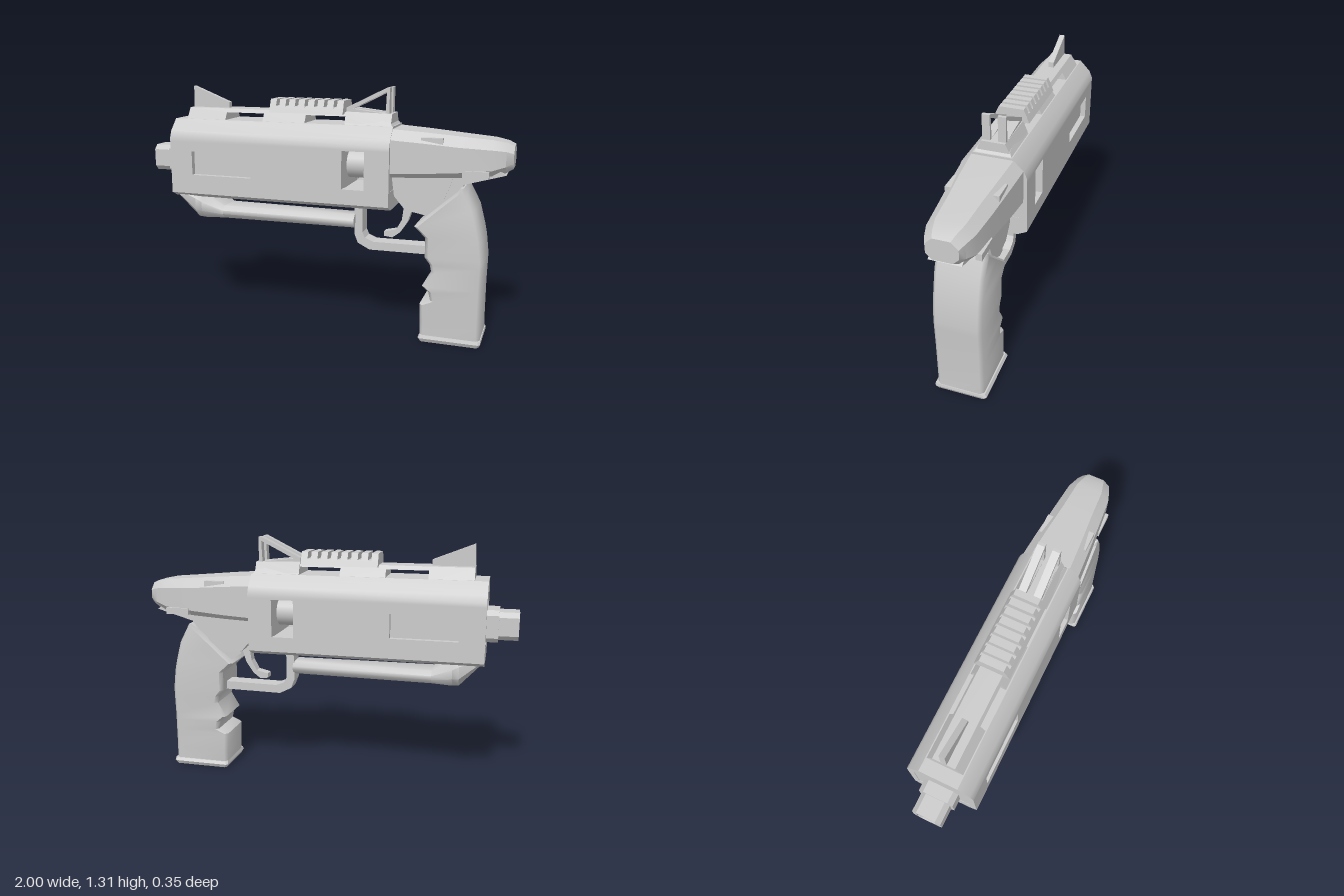
import * as THREE from 'three';
import { toCreasedNormals } from 'three/addons/utils/BufferGeometryUtils.js';

const material = new THREE.MeshStandardMaterial({ color: 0xcccccc, side: THREE.DoubleSide });

// Rectangle with separate chamfers on its low and high u sides, as a counter-clockwise ring
const ring = (u0, u1, v0, v1, c, c0 = c) => [
  [u1, v0 + c], [u1, v1 - c], [u1 - c, v1], [u0 + c0, v1],
  [u0, v1 - c0], [u0, v0 + c0], [u0 + c0, v0], [u1 - c, v0],
];

// Skin over rings; each section is [position, ring], running along x (ring = y,z) or y (ring = z,x)
function loft(sections, axis = 'x', crease = 0.6) {
  const pos = [], idx = [], n = sections[0][1].length;
  for (const [t, pts] of sections)
    for (const [u, v] of pts) axis === 'x' ? pos.push(t, u, v) : pos.push(v, t, u);
  for (let i = 0; i < sections.length - 1; i++)
    for (let j = 0; j < n; j++) {
      const a = i * n + j, b = i * n + (j + 1) % n;
      idx.push(a, b, b + n, a, b + n, a + n);
    }
  const e = (sections.length - 1) * n;
  for (let j = 1; j < n - 1; j++) idx.push(0, j + 1, j, e, e + j, e + j + 1);
  const g = new THREE.BufferGeometry();
  g.setAttribute('position', new THREE.Float32BufferAttribute(pos, 3));
  g.setIndex(idx);
  return toCreasedNormals(g, crease);
}

const toPoints = (pts) => pts.map(([x, y]) => new THREE.Vector2(x, y));
const rect = (x0, x1, y0, y1) => [[x0, y0], [x1, y0], [x1, y1], [x0, y1]];

// Side outline extruded between z0 and z1
function slab(outline, z0, z1, holes = []) {
  const shape = new THREE.Shape(toPoints(outline));
  for (const h of holes) shape.holes.push(new THREE.Path(toPoints(h)));
  return new THREE.ExtrudeGeometry(shape, { depth: z1 - z0, bevelEnabled: false }).translate(0, 0, z0);
}

const box = (x0, x1, y0, y1, z0, z1) =>
  new THREE.BoxGeometry(x1 - x0, y1 - y0, z1 - z0).translate((x0 + x1) / 2, (y0 + y1) / 2, (z0 + z1) / 2);

export function createModel() {
  const model = new THREE.Group();
  const add = (name, geometry) => {
    const mesh = new THREE.Mesh(geometry, material);
    mesh.name = name;
    model.add(mesh);
  };

  // Shroud: chamfered roof and floor, solid cores, pierced side plates
  const roof = [[1, -0.175], [1.02, -0.175], [1.06, -0.158], [1.12, -0.1],
    [1.12, 0.1], [1.06, 0.158], [1.02, 0.175], [1, 0.175]];
  const floor = [[0.69, -0.125], [0.715, -0.175], [0.79, -0.175], [0.79, 0.175], [0.715, 0.175], [0.69, 0.125]];
  add('shroudRoof', loft([[-0.84, roof], [0.4, roof]], 'x', 0.8));
  add('shroudFloor', loft([[-0.84, floor], [0.4, floor]], 'x', 0.1));
  add('shroudFrontCore', box(-0.838, 0.148, 0.78, 1.01, -0.145, 0.145));
  add('shroudRearCore', box(0.272, 0.398, 0.78, 1.01, -0.145, 0.145));
  const windows = [rect(-0.71, -0.36, 0.82, 0.95), rect(0.15, 0.27, 0.795, 0.995)];
  for (const z of [-0.175, 0.14])
    add('shroudSide', slab(rect(-0.84, 0.4, 0.79, 1), z, z + 0.035, windows));
  add('innerBarrel', new THREE.CylinderGeometry(0.075, 0.075, 0.16, 24).rotateZ(Math.PI / 2).translate(0.21, 0.905, 0));

  // Muzzle: stepped chamfered tubes with an open bore
  const tube = (x0, x1, h, w, bh, bw) => {
    const shape = new THREE.Shape(toPoints(ring(-w, w, -h, h, 0.025)));
    shape.holes.push(new THREE.Path(toPoints(ring(-bw, bw, -bh, bh, 0.02))));
    return new THREE.ExtrudeGeometry(shape, { depth: x1 - x0, bevelEnabled: false })
      .rotateY(Math.PI / 2).translate(x0, 0.888, 0);
  };
  add('muzzleCollar', tube(-0.9, -0.83, 0.083, 0.09, 0.045, 0.045));
  add('muzzleTip', tube(-1, -0.89, 0.072, 0.075, 0.055, 0.055));

  // Top rail with two slots below it, its sides leaning inward
  const railOutline = [[-0.77, 1.11], [-0.54, 1.11], [-0.54, 1.16], [-0.32, 1.16], [-0.32, 1.11], [-0.08, 1.11],
    [-0.08, 1.16], [0.14, 1.16], [0.14, 1.11], [0.4, 1.11], [0.38, 1.14], [0.15, 1.18], [-0.77, 1.18]];
  const rail = slab(railOutline, -0.1, 0.1);
  const p = rail.attributes.position;
  for (let i = 0; i < p.count; i++) p.setZ(i, p.getZ(i) * (1 - (p.getY(i) - 1.11) * 6));
  rail.computeVertexNormals();
  add('topRail', rail);

  // Sight rail: base and evenly spaced teeth
  const taper = (y0, y1, w0, w1) => [[y0, -w0], [y1, -w1], [y1, w1], [y0, w0]];
  const railBase = taper(1.17, 1.205, 0.095, 0.08), tooth = taper(1.2, 1.24, 0.083, 0.065);
  add('sightRailBase', loft([[-0.28, railBase], [0.13, railBase]], 'x', 0.1));
  for (let i = 0; i < 8; i++) {
    const x = -0.28 + i * 0.0535;
    add('sightRailTooth', loft([[x, tooth], [x + 0.035, tooth]], 'x', 0.1));
  }

  // Sights
  add('frontSight', slab([[-0.77, 1.17], [-0.55, 1.17], [-0.55, 1.21], [-0.765, 1.295]], -0.015, 0.015));
  for (const s of [-1, 1])
    add('rearSight', slab([[0.14, 1.17], [0.37, 1.17], [0.37, 1.312], [0.355, 1.312], [0.14, 1.205]],
      s * 0.04 - 0.02, s * 0.04 + 0.02, [[[0.175, 1.2], [0.35, 1.18], [0.355, 1.29]]]));
  add('rearSightBase', loft([[0.14, taper(1.13, 1.185, 0.09, 0.065)], [0.385, taper(1.11, 1.18, 0.095, 0.06)]], 'x', 0.1));

  // Rear receiver, boxy at the shroud and tapering to a blunt end
  const rec = (x, y0, y1, w, c, c0) => [x, ring(y0, y1, -w, w, c, c0)];
  add('receiver', loft([
    rec(0.38, 0.865, 1.11, 0.157, 0.05, 0.022), rec(0.56, 0.87, 1.098, 0.145, 0.05, 0.025),
    rec(0.74, 0.877, 1.083, 0.13, 0.05, 0.03), rec(0.9, 0.888, 1.07, 0.115, 0.045, 0.035),
    rec(0.965, 0.908, 1.058, 0.094, 0.04, 0.035), rec(1, 0.93, 1.042, 0.078, 0.035, 0.03),
  ], 'x', 0.7));
  for (const s of [-1, 1]) {
    add('receiverLug', box(0.55, 0.66, 1.03, 1.075, s * 0.115 - 0.017, s * 0.115 + 0.017));
    add('receiverLedge', box(0.76, 0.89, 0.885, 0.92, s * 0.12 - 0.015, s * 0.12 + 0.015));
  }

  // Trigger housing and neck joining the grip
  add('triggerHousing', slab([[0.39, 0.9], [0.41, 0.76], [0.47, 0.69], [0.58, 0.67], [0.66, 0.73], [0.72, 0.9]], -0.09, 0.09));
  add('neck', slab([[0.54, 0.63], [0.8, 0.7], [0.76, 0.84], [0.97, 0.9], [0.92, 0.93], [0.66, 0.9], [0.64, 0.73]], -0.075, 0.085));

  // Grip with finger grooves: height, front edge, back edge
  const gripRows = [
    [0.02, 0.57, 0.884], [0.1, 0.57, 0.882], [0.2, 0.565, 0.882], [0.225, 0.62, 0.882], [0.27, 0.61, 0.882],
    [0.3, 0.575, 0.882], [0.38, 0.622, 0.884], [0.42, 0.612, 0.885], [0.455, 0.585, 0.885], [0.56, 0.585, 0.872],
    [0.615, 0.525, 0.86], [0.72, 0.64, 0.832], [0.8, 0.73, 0.79], [0.83, 0.755, 0.77],
  ];
  add('grip', loft(gripRows.map(([y, f, b]) =>
    [y, ring(-0.113, 0.136, f, b, Math.min(0.018, (b - f) * 0.4))]), 'y', 0.9));
  add('gripPlate', loft([[0, ring(-0.12, 0.14, 0.575, 0.88, 0.01)], [0.02, ring(-0.13, 0.15, 0.565, 0.89, 0.01)],
    [0.035, ring(-0.12, 0.145, 0.57, 0.888, 0.01)]], 'y', 0.3));

  // Trigger guard and trigger
  add('triggerGuard', slab([[0.185, 0.7], [0.185, 0.53], [0.205, 0.48], [0.27, 0.447], [0.6, 0.45], [0.6, 0.495],
    [0.29, 0.492], [0.245, 0.51], [0.23, 0.54], [0.23, 0.7]], -0.045, 0.045));
  add('trigger', slab([[0.45, 0.7], [0.44, 0.62], [0.41, 0.565], [0.345, 0.55], [0.345, 0.525], [0.39, 0.52],
    [0.43, 0.55], [0.47, 0.61], [0.5, 0.7]], -0.025, 0.025));

  // Lower tube, flaring into the front arm
  const low = (x, y0, y1, w, c) => [x, ring(y0, y1, 0.01 - w, 0.01 + w, c)];
  add('lowerTube', loft([
    low(-0.82, 0.69, 0.73, 0.13, 0.012), low(-0.715, 0.57, 0.725, 0.135, 0.045), low(-0.68, 0.565, 0.705, 0.13, 0.045),
    low(-0.57, 0.565, 0.635, 0.09, 0.025), low(0.19, 0.565, 0.635, 0.07, 0.025),
  ], 'x', 0.8));

  return model;
}
